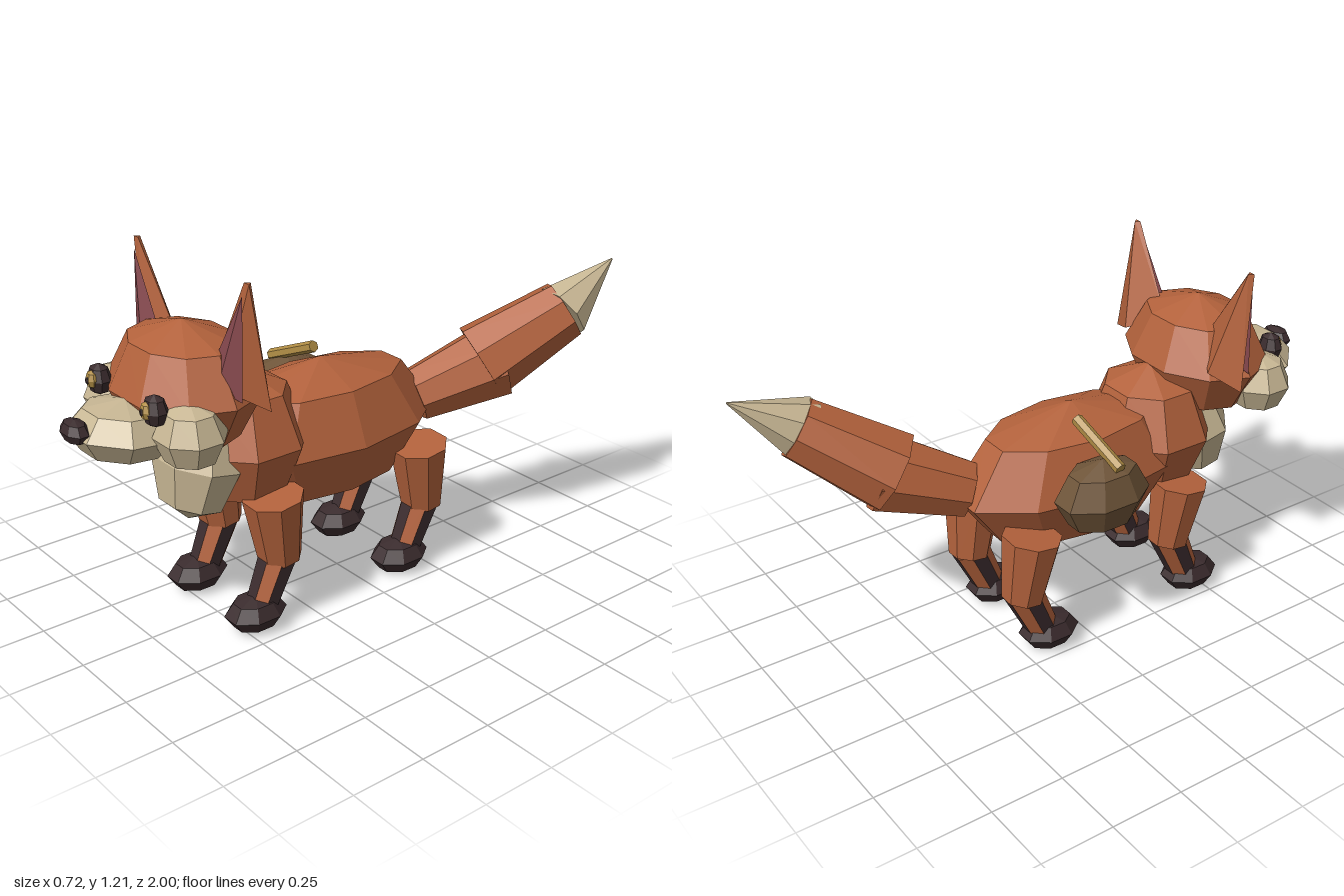
import * as THREE from 'three';
import { ConvexGeometry } from 'three/addons/geometries/ConvexGeometry.js';

function makeMaterial(name, color) {
  const m = new THREE.MeshStandardMaterial({ color });
  m.name = name;
  return m;
}

export function createModel() {
  const fur = makeMaterial('russet fur', 0xb3623c);
  const cream = makeMaterial('cream fur', 0xc8b794);
  const dark = makeMaterial('dark brown', 0x3a2b2d);
  const pink = makeMaterial('inner ear', 0x85484d);
  const leather = makeMaterial('leather', 0x6f5539);
  const gold = makeMaterial('gold', 0xb08d45);

  const model = new THREE.Group();
  model.name = 'fox';
  model.position.x = -0.01;

  const V = (x, y, z) => new THREE.Vector3(x, y, z);

  // Separate the faces so each one is shaded flat
  function add(name, geometry, material, parent = model) {
    const g = geometry.index ? geometry.toNonIndexed() : geometry;
    g.computeVertexNormals();
    const mesh = new THREE.Mesh(g, material);
    mesh.name = name;
    parent.add(mesh);
    return mesh;
  }

  // Faceted ellipsoid; eight-sided ones have a flat face at the front
  function blob(name, material, c, r, { seg = 8, rows = 4, tilt = 0, parent = model } = {}) {
    const g = new THREE.SphereGeometry(1, seg, rows);
    if (seg === 8) g.rotateY(Math.PI / 8).scale(1.05, 1, 1.05);
    g.scale(...r).rotateX(tilt).translate(...c);
    return add(name, g, material, parent);
  }

  // Tapered cylinder from point a to point b
  function limbGeometry(a, b, ra, rb, sides) {
    const d = b.clone().sub(a);
    const g = new THREE.CylinderGeometry(rb, ra, d.length(), sides).rotateY(Math.PI / sides);
    g.applyQuaternion(new THREE.Quaternion().setFromUnitVectors(V(0, 1, 0), d.normalize()));
    const m = a.clone().add(b).multiplyScalar(0.5);
    return g.translate(m.x, m.y, m.z);
  }

  // Trunk
  blob('body', fur, [0, 0.54, 0.06], [0.235, 0.245, 0.45], { seg: 10 });
  blob('chest', fur, [0, 0.6, 0.385], [0.22, 0.235, 0.205]);
  blob('bib', cream, [0, 0.565, 0.55], [0.165, 0.2, 0.13], { tilt: -0.2 });

  // Head
  blob('head', fur, [0, 0.83, 0.585], [0.28, 0.205, 0.22], { seg: 10 });
  blob('muzzle', cream, [0, 0.74, 0.8], [0.17, 0.093, 0.17], { tilt: -0.1 });
  blob('nose', dark, [0, 0.775, 0.962], [0.06, 0.038, 0.037]);

  for (const s of [1, -1]) {
    const side = s > 0 ? 'left' : 'right';
    blob(side + 'Cheek', cream, [s * 0.195, 0.757, 0.695], [0.115, 0.107, 0.105]);

    // Eye with iris and pupil
    const eye = new THREE.Group();
    eye.name = side + 'Eye';
    model.add(eye);
    blob('eyeball', dark, [s * 0.155, 0.843, 0.785], [0.044, 0.051, 0.036], { parent: eye });
    blob('iris', gold, [s * 0.152, 0.848, 0.81], [0.025, 0.029, 0.02], { parent: eye });
    blob('pupil', dark, [s * 0.152, 0.848, 0.827], [0.008, 0.012, 0.006], { parent: eye });

    // Ear, a leaning four-sided spike with a smaller inner spike
    add(side + 'Ear', new ConvexGeometry([
      V(s * 0.302, 1.21, 0.55), V(s * 0.278, 1.21, 0.55), V(s * 0.29, 1.21, 0.535),
      V(s * 0.33, 0.82, 0.5), V(s * 0.1, 0.92, 0.53),
      V(s * 0.21, 0.87, 0.585), V(s * 0.22, 0.86, 0.45),
    ]), fur);
    add(side + 'InnerEar', new ConvexGeometry([
      V(s * 0.285, 1.175, 0.562), V(s * 0.285, 0.85, 0.57), V(s * 0.14, 0.93, 0.57),
      V(s * 0.205, 0.88, 0.602), V(s * 0.21, 0.88, 0.55),
    ]), pink);

    // Front and hind legs share one build
    for (const [end, z] of [['Front', 0], ['Hind', -0.605]]) {
      const leg = new THREE.Group();
      leg.name = side + end + 'Leg';
      leg.position.z = z;
      model.add(leg);
      add('upperLeg', limbGeometry(V(s * 0.163, 0.225, 0.357), V(s * 0.175, 0.455, 0.388),
        0.071, 0.1, 8), fur, leg);

      // Lower leg with alternating dark and russet faces
      const g = limbGeometry(V(s * 0.163, 0.07, 0.435), V(s * 0.163, 0.25, 0.355),
        0.054, 0.066, 8).toNonIndexed();
      g.clearGroups();
      for (let i = 0; i < 8; i++) g.addGroup(i * 6, 6, i % 2);
      g.addGroup(48, g.attributes.position.count - 48, 0);
      add('lowerLeg', g, [fur, dark], leg);
      blob('paw', dark, [s * 0.165, 0.06, 0.458], [0.079, 0.06, 0.103], { parent: leg });
    }
  }

  // Tail
  const tailEnd = V(0.27, 0.83, -0.79);
  add('tailBase', limbGeometry(V(0.04, 0.56, -0.32), V(0.155, 0.66, -0.58), 0.095, 0.135, 8), fur);
  add('tailMiddle', limbGeometry(V(0.13, 0.655, -0.54), tailEnd, 0.14, 0.105, 8), fur);
  add('tailTip', limbGeometry(tailEnd.clone().add(V(-0.005, -0.01, 0.015)),
    V(0.285, 0.97, -1), 0.107, 0.003, 8), cream);

  // Side pouch and its toggle
  blob('pouch', leather, [-0.255, 0.575, 0], [0.108, 0.128, 0.162]);
  add('pouchToggle', limbGeometry(V(-0.315, 0.685, 0.025), V(-0.1, 0.775, 0.01), 0.02, 0.02, 6), gold);

  return model;
}
